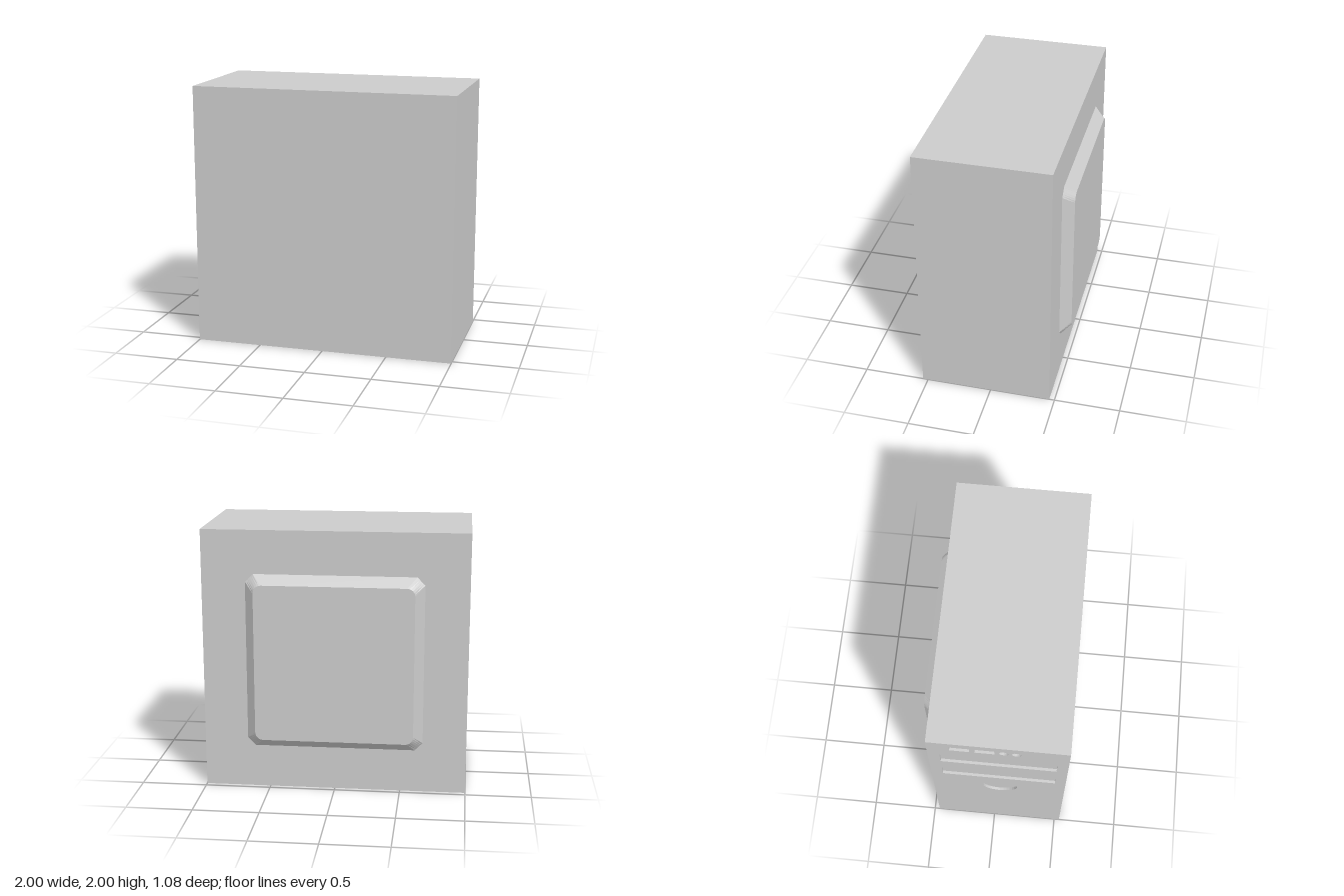
import * as THREE from 'three';

const material = new THREE.MeshStandardMaterial({ color: 0xcccccc });
const BACK = -0.46, FRONT = 0.54, HEIGHT = 2;

const rect = (x0, y0, x1, y1) => [[x0, y0], [x1, y0], [x1, y1], [x0, y1]].map(([x, y]) => new THREE.Vector2(x, y));

function circle(cx, cy, r, n) {
  return Array.from({ length: n }, (_, i) => {
    const a = (i / n) * Math.PI * 2;
    return new THREE.Vector2(cx + r * Math.cos(a), cy + r * Math.sin(a));
  });
}

// Square outline about (0, 1), its corners rounded or cut straight
function square(half, r, rounded, n = 6) {
  const pts = [], c = half - r;
  for (let q = 0; q < 4; q++) {
    for (let i = 0; i <= n; i++) {
      const t = i / n, a = t * Math.PI / 2;
      const p = rounded
        ? new THREE.Vector2(c + r * Math.cos(a), c + r * Math.sin(a))
        : new THREE.Vector2(c + r * (1 - t), c + r * t);
      p.rotateAround(new THREE.Vector2(), q * Math.PI / 2);
      pts.push(p.add(new THREE.Vector2(0, 1)));
    }
  }
  return pts;
}

function addMesh(parent, name, geometry) {
  const mesh = new THREE.Mesh(geometry, material);
  mesh.name = name;
  parent.add(mesh);
  return mesh;
}

// Walls from outline a at z = 0 to outline b at z = h, closed by a cap;
// a negative h makes a pocket seen from inside
function addLoft(parent, name, a, b, h) {
  const part = new THREE.Group();
  part.name = name;
  const pos = [];
  a.forEach((p, i) => {
    const j = (i + 1) % a.length, q = a[j], p1 = b[i], q1 = b[j];
    pos.push(p.x, p.y, 0, q.x, q.y, 0, q1.x, q1.y, h);
    pos.push(p.x, p.y, 0, q1.x, q1.y, h, p1.x, p1.y, h);
  });
  const walls = new THREE.BufferGeometry();
  walls.setAttribute('position', new THREE.Float32BufferAttribute(pos, 3));
  walls.computeVertexNormals();
  addMesh(part, name + 'Walls', walls);
  addMesh(part, name + 'Face', new THREE.ShapeGeometry(new THREE.Shape(b)).translate(0, 0, h));
  parent.add(part);
}

export function createModel() {
  const model = new THREE.Group();
  model.name = 'computerCase';

  // Case shell, left open on the -x side for the control panel
  const shell = new THREE.BoxGeometry(2, HEIGHT, FRONT - BACK);
  const index = Array.from(shell.index.array);
  index.splice(6, 6);
  shell.setIndex(index);
  shell.clearGroups();
  addMesh(model, 'caseShell', shell).position.set(0, HEIGHT / 2, (FRONT + BACK) / 2);

  // Control panel: local x runs along z, local z points outwards
  const panel = new THREE.Group();
  panel.name = 'controlPanel';
  panel.rotation.y = -Math.PI / 2;
  panel.position.x = -1;
  model.add(panel);

  const pockets = [
    ['upperDriveBay', rect(-0.375, 1.54, 0.46, 1.72), 0.02],
    ['lowerDriveBay', rect(-0.375, 1.2, 0.46, 1.38), 0.02],
    ['powerButton', circle(0.05, 0.97, 0.13, 32), 0.02],
    ['firstDataPort', rect(-0.3, 1.85, -0.16, 1.92), 0.1],
    ['secondDataPort', rect(-0.125, 1.85, 0.015, 1.92), 0.1],
    ['firstAudioJack', circle(0.08, 1.885, 0.035, 16), 0.1],
    ['secondAudioJack', circle(0.17, 1.885, 0.035, 16), 0.1],
  ];
  const plate = new THREE.Shape(rect(BACK, 0, FRONT, HEIGHT));
  for (const [name, outline, depth] of pockets) {
    plate.holes.push(new THREE.Path(outline));
    addLoft(panel, name, outline, outline, -depth);
  }
  addMesh(panel, 'panelPlate', new THREE.ShapeGeometry(plate));

  // Raised side cover with sloping edges
  const cover = new THREE.Group();
  cover.name = 'raisedSideCover';
  cover.rotation.y = Math.PI;
  cover.position.z = BACK;
  addLoft(cover, 'sideCover', square(0.67, 0.06, false), square(0.6, 0.06, true), 0.08);
  model.add(cover);

  return model;
}
